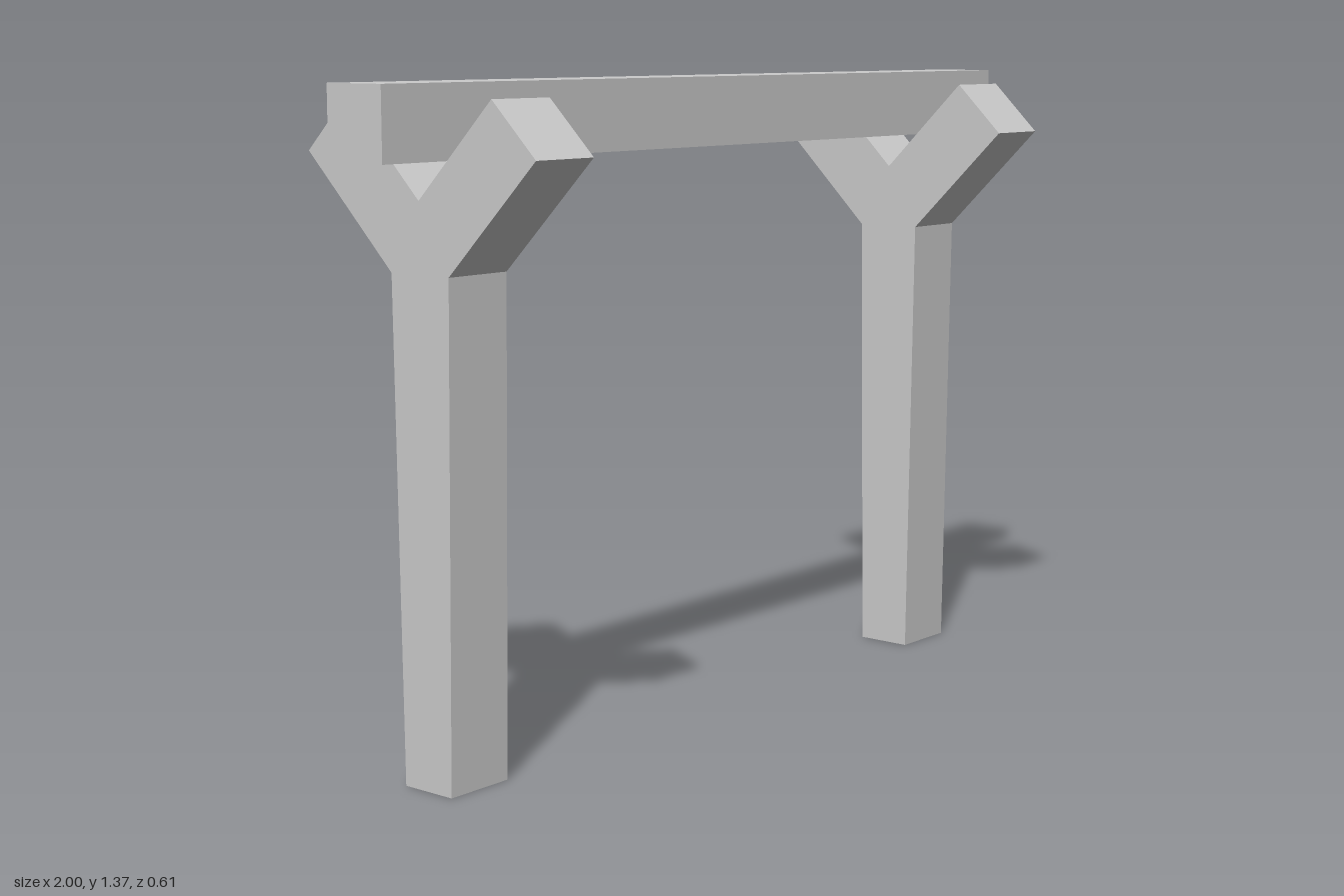
import * as THREE from 'three';

const POST_WIDTH = 0.155;
const POST_X = 0.765;

export function createModel() {
  const group = new THREE.Group();
  const material = new THREE.MeshStandardMaterial({ color: 0xcccccc, flatShading: true });

  // Half outline of the forked post, from foot to crotch; the other half is mirrored
  const half = [[0.063, 0], [0.077, 1.01], [0.304, 1.235], [0.194, 1.343]];
  const mirrored = half.map(([z, y]) => [-z, y]).reverse();
  const outline = [...half, [0, 1.15], ...mirrored].map(([z, y]) => new THREE.Vector2(z, y));

  const postGeometry = new THREE.ExtrudeGeometry(new THREE.Shape(outline), {
    depth: POST_WIDTH,
    bevelEnabled: false,
  });
  postGeometry.translate(0, 0, -POST_WIDTH / 2);
  postGeometry.rotateY(Math.PI / 2);

  // Two forked posts
  for (const [name, side] of [['leftForkedPost', 1], ['rightForkedPost', -1]]) {
    const post = new THREE.Mesh(postGeometry, material);
    post.name = name;
    post.position.x = side * POST_X;
    group.add(post);
  }

  // Square crossbar lying in the forks
  const crossbar = new THREE.Mesh(new THREE.BoxGeometry(2, 0.145, 0.144), material);
  crossbar.name = 'crossbar';
  crossbar.position.y = 1.299;
  group.add(crossbar);

  return group;
}
